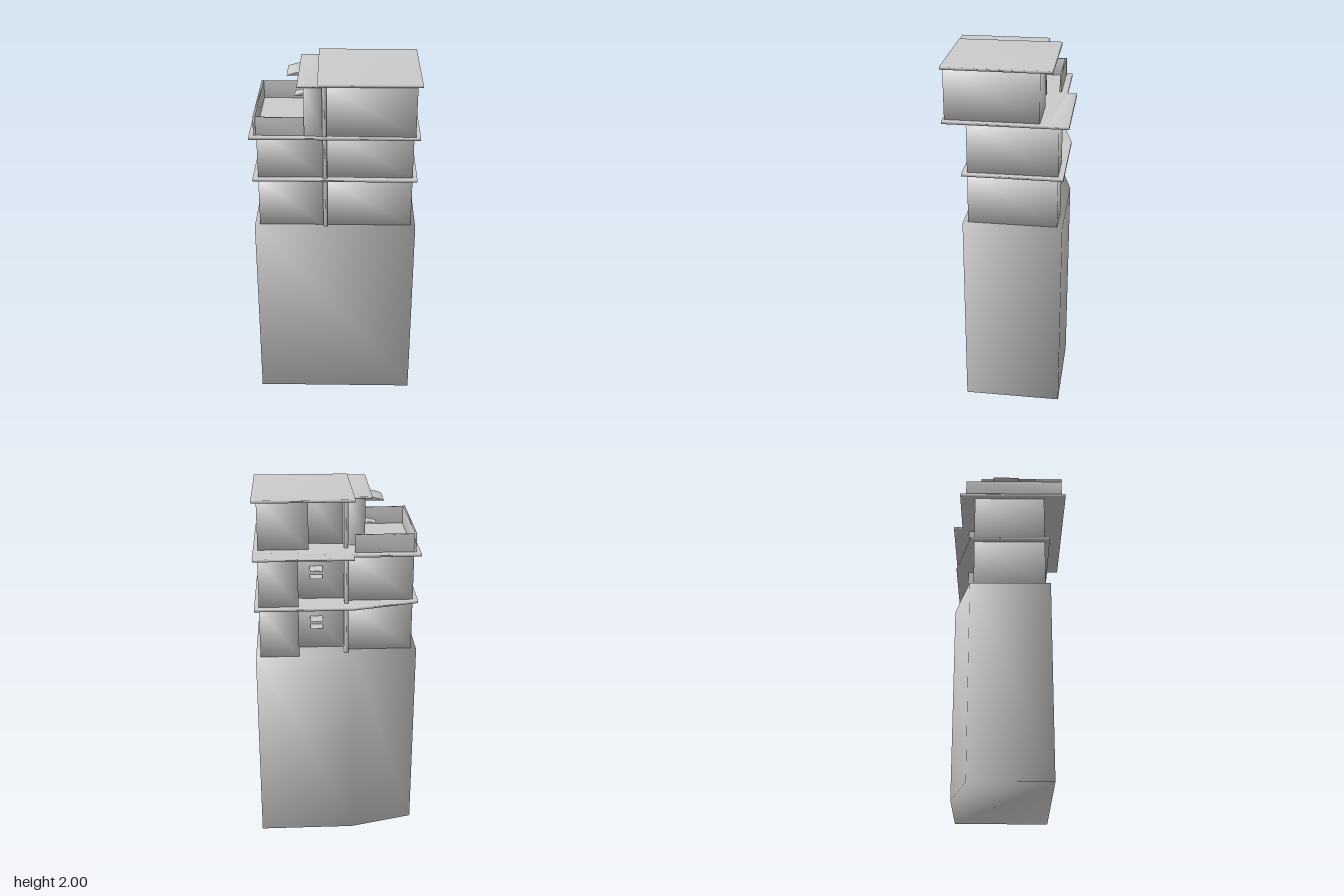
import * as THREE from 'three';
import { mergeVertices } from 'three/addons/utils/BufferGeometryUtils.js';

const material = new THREE.MeshStandardMaterial({ color: 0xcccccc });

// Weld corners so the shading runs softly across every edge
function soften(geometry) {
  geometry.deleteAttribute('normal');
  geometry.deleteAttribute('uv');
  const welded = mergeVertices(geometry, 1e-5);
  welded.computeVertexNormals();
  return welded;
}

// Upright prism over a floor plan of [x, z] corners
function prism(name, plan, y0, y1) {
  const shape = new THREE.Shape(plan.map(([x, z]) => new THREE.Vector2(x, -z)));
  const geo = new THREE.ExtrudeGeometry(shape, { depth: y1 - y0, bevelEnabled: false });
  geo.rotateX(-Math.PI / 2).translate(0, y0, 0);
  const mesh = new THREE.Mesh(soften(geo), material);
  mesh.name = name;
  return mesh;
}

const block = (name, x0, x1, y0, y1, z0, z1) =>
  prism(name, [[x0, z1], [x1, z1], [x1, z0], [x0, z0]], y0, y1);

// Wedge awning: its thin tip points along local -x, its back stands at x = 0
function awning(name, reach, rise, width) {
  const shape = new THREE.Shape([
    new THREE.Vector2(-reach, 0), new THREE.Vector2(0, 0), new THREE.Vector2(0, rise),
    new THREE.Vector2(-reach, rise * 0.12),
  ]);
  const geo = new THREE.ExtrudeGeometry(shape, { depth: width, bevelEnabled: false });
  geo.translate(0, 0, -width / 2);
  const mesh = new THREE.Mesh(soften(geo), material);
  mesh.name = name;
  return mesh;
}

// L-shaped apartment with a balcony recess cut from its back
const apartment = (name, front, back, recessX, recessZ, y0, y1) =>
  prism(name, [[-0.045, front], [0.425, front], [0.425, back], [recessX, back],
    [recessX, recessZ], [-0.045, recessZ]], y0, y1);

export function createModel() {
  const model = new THREE.Group();
  model.name = 'apartmentBlock';

  // Lower block, with one skewed back wall
  const basePlan = [[-0.45, 0.233], [0.45, 0.233], [0.45, -0.31], [-0.09, -0.31], [-0.45, -0.215]];
  model.add(prism('baseBlock', basePlan, 0, 1.125));

  // Two matching storeys
  [[1.125, 1.405], [1.42, 1.697]].forEach(([y0, y1], i) => {
    const storey = new THREE.Group();
    storey.name = `storey${i + 1}`;
    storey.add(apartment('largeRooms', 0.206, -0.28, 0.21, -0.155, y0, y1));
    storey.add(block('smallRooms', -0.422, -0.065, y0, y1, -0.195, 0.206));
    storey.add(block('partyWall', -0.065, -0.042, y0, y1, -0.24, 0.228));
    // Small awnings inside the balcony recess
    [[0.175, 0.05], [0.125, 0.035]].forEach(([h, reach]) => {
      const ledge = awning('balconyAwning', reach, 0.015, 0.07);
      ledge.rotation.y = -Math.PI / 2;
      ledge.position.set(0.11, y0 + h, -0.155);
      storey.add(ledge);
    });
    model.add(storey);
  });

  // Floor slabs
  model.add(prism('middleSlab', basePlan, 1.405, 1.42));
  model.add(prism('terraceSlab', [[-0.45, 0.33], [0.45, 0.33], [0.45, -0.222], [-0.09, -0.28],
    [-0.45, -0.28]], 1.695, 1.711));
  model.add(prism('balconySlab', [[-0.09, -0.28], [0.45, -0.222], [0.45, -0.333],
    [-0.09, -0.333]], 1.695, 1.709));

  // Penthouse
  const penthouse = new THREE.Group();
  penthouse.name = 'penthouse';
  penthouse.add(apartment('penthouseRooms', 0.32, -0.18, 0.15, -0.08, 1.71, 1.986));
  penthouse.add(block('stairRoom', -0.16, -0.065, 1.71, 1.982, -0.11, 0.315));
  penthouse.add(block('penthousePartyWall', -0.065, -0.042, 1.71, 1.982, -0.165, 0.327));
  penthouse.add(prism('mainRoof', [[-0.088, 0.33], [0.45, 0.33], [0.45, -0.245],
    [-0.097, -0.245]], 1.985, 2));
  penthouse.add(block('sideRoof', -0.192, -0.06, 1.982, 1.994, -0.167, 0.33));
  const doorAwning = awning('terraceAwning', 0.1, 0.033, 0.155);
  doorAwning.position.set(-0.16, 1.952, -0.012);
  const lowLedge = awning('terraceLedge', 0.065, 0.016, 0.07);
  lowLedge.position.set(-0.16, 1.818, -0.03);
  penthouse.add(doorAwning, lowLedge);
  model.add(penthouse);

  // Terrace parapet
  const parapet = new THREE.Group();
  parapet.name = 'parapet';
  parapet.add(block('sideParapet', -0.426, -0.413, 1.71, 1.812, -0.247, 0.31));
  parapet.add(block('backParapet', -0.413, -0.097, 1.71, 1.81, -0.245, -0.234));
  parapet.add(block('frontParapet', -0.413, -0.16, 1.71, 1.81, 0.295, 0.307));
  model.add(parapet);

  return model;
}
